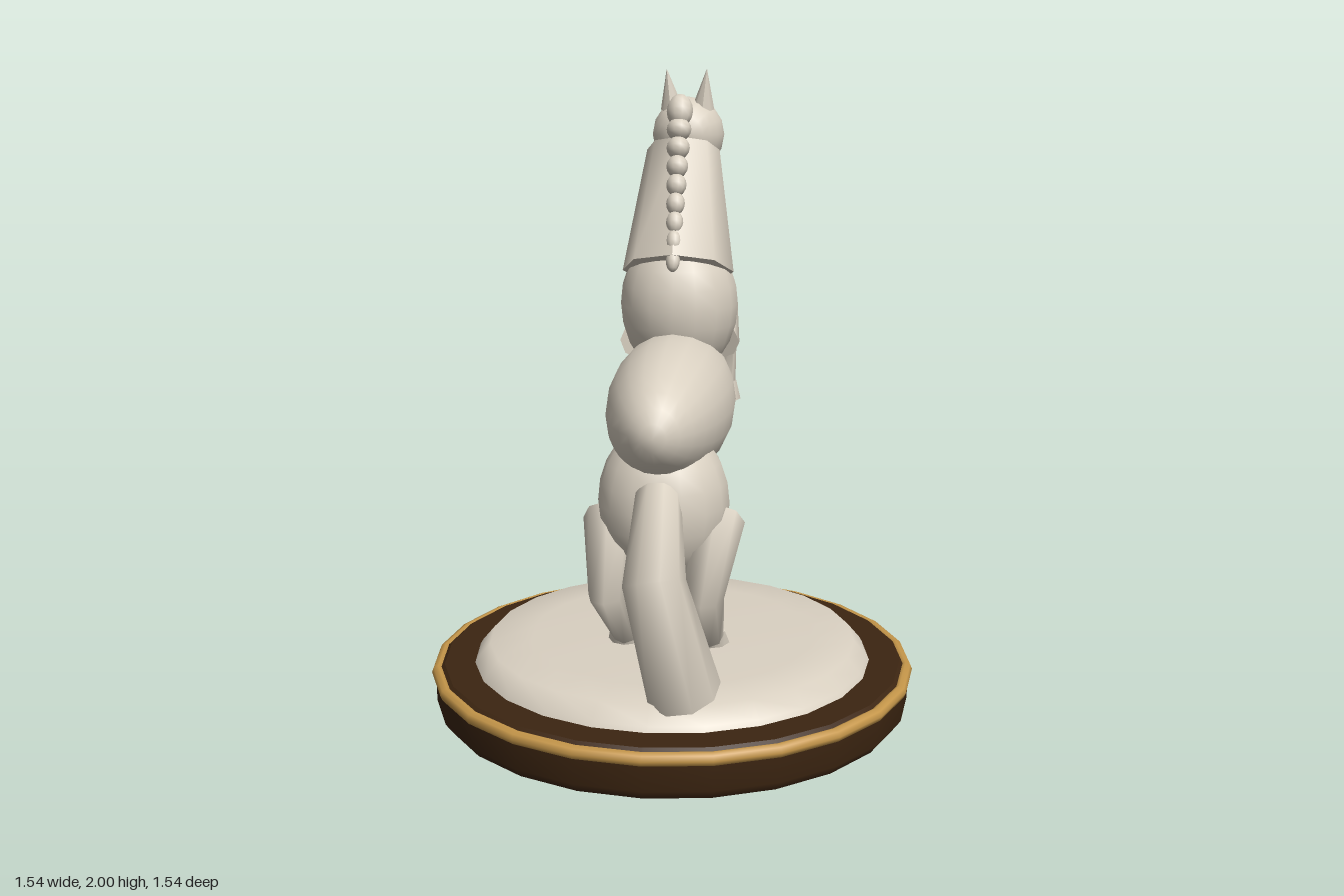
import * as THREE from 'three';

const cream = new THREE.MeshStandardMaterial({ color: 0xdad1c2 });
cream.name = 'cream';
const brown = new THREE.MeshStandardMaterial({ color: 0x3c2511 });
brown.name = 'darkBrown';
const gold = new THREE.MeshStandardMaterial({ color: 0xc6974a });
gold.name = 'gold';

const V = (x, y, z) => new THREE.Vector3(x, y, z);

function add(parent, name, geometry, material = cream) {
  const mesh = new THREE.Mesh(geometry, material);
  mesh.name = name;
  parent.add(mesh);
  return mesh;
}

// Tapered, mitred tube through a few points, made by bending a cylinder's rows
function limb(points, radii, sides = 8, wide = 1) {
  const n = points.length - 1;
  const rows = points.map((p, i) => {
    const before = i > 0 ? p.clone().sub(points[i - 1]).normalize() : null;
    const after = i < n ? points[i + 1].clone().sub(p).normalize() : null;
    const t = (before || after).clone().add(after || before).normalize();
    const side = V(1, 0, 0).addScaledVector(t, -t.x).normalize();
    const depth = side.clone().cross(t).negate();
    return { p, side, depth, mitre: 1 / t.dot(before || after), r: radii[i] };
  });
  const geo = new THREE.CylinderGeometry(1, 1, 1, sides, n);
  const pos = geo.attributes.position;
  for (let i = 0; i < pos.count; i++) {
    const row = rows[Math.round((0.5 - pos.getY(i)) * n)];
    const v = row.p.clone()
      .addScaledVector(row.side, pos.getX(i) * row.r * wide)
      .addScaledVector(row.depth, pos.getZ(i) * row.r * row.mitre);
    pos.setXYZ(i, v.x, v.y, v.z);
  }
  geo.computeVertexNormals();
  return geo;
}

// Ellipsoid with its poles along the horse's length (z) or upright (y)
function ball(parent, name, center, size, along = 'y', w = 16, h = 12) {
  const geo = new THREE.SphereGeometry(1, w, h);
  if (along === 'z') geo.rotateX(Math.PI / 2);
  const mesh = add(parent, name, geo);
  mesh.position.copy(center);
  mesh.scale.copy(size);
  return mesh;
}

function lathe(points) {
  return new THREE.LatheGeometry(points.map(([r, y]) => new THREE.Vector2(r, y)), 24);
}

function createBase() {
  const base = new THREE.Group();
  base.name = 'base';
  add(base, 'plinthSide', lathe([[0, 0], [0.735, 0], [0.735, 0], [0.757, 0.03], [0.757, 0.13]]), brown);
  add(base, 'plinthTop', lathe([[0.757, 0.13], [0.73, 0.15], [0.73, 0.15], [0, 0.15]]), brown);
  const rim = add(base, 'goldRim', new THREE.TorusGeometry(0.75, 0.021, 8, 24).rotateX(Math.PI / 2), gold);
  rim.position.y = 0.125;
  add(base, 'groundDome', lathe([[0.635, 0.148], [0.625, 0.165], [0.585, 0.212], [0.45, 0.219], [0.25, 0.225], [0, 0.228]]));
  return base;
}

// The horse is built facing +z, then turned on its base
function createHorse() {
  const horse = new THREE.Group();
  horse.name = 'horse';

  // Trunk
  ball(horse, 'barrel', V(0, 0.973, 0), V(0.197, 0.217, 0.495), 'z', 20, 16);
  ball(horse, 'hips', V(0, 0.72, -0.23), V(0.2, 0.25, 0.2));
  ball(horse, 'chest', V(0, 1.26, 0.205), V(0.19, 0.24, 0.2));

  // Neck and head
  add(horse, 'neck', limb([V(0, 1.37, 0.165), V(0, 1.745, 0.325)], [0.178, 0.118]));
  ball(horse, 'head', V(0, 1.79, 0.487), V(0.12, 0.123, 0.132), 'z');
  add(horse, 'muzzle', limb([V(0, 1.78, 0.52), V(0, 1.653, 0.715)], [0.08, 0.063], 12, 1.2));
  for (const s of [-1, 1]) {
    add(horse, 'ear', limb([V(s * 0.052, 1.875, 0.455), V(s * 0.066, 2, 0.43)], [0.037, 0.001]));
  }

  // Braided mane down the back of the neck
  const beads = 9;
  for (let i = 0; i < beads; i++) {
    const t = i / (beads - 1);
    const r = 0.042 - 0.02 * t;
    const bead = ball(horse, 'maneBead', V(0, 1.87 - 0.45 * t, 0.22 - 0.2 * t),
      V(r, i === 0 ? 0.055 : 0.037, r), 'y', 10, 8);
    bead.rotation.x = 0.4;
  }

  // Raised front legs, one held higher than the other
  const frontLegs = [
    { s: -1, knee: 1.225, foot: 0.885, reach: 0.52 },
    { s: 1, knee: 1.1, foot: 0.77, reach: 0.545 },
  ];
  for (const { s, knee, foot, reach } of frontLegs) {
    const x = s * 0.125;
    add(horse, 'frontLeg', limb(
      [V(x * 1.08, 1.135, 0.215), V(x, knee, 0.505), V(x, foot + 0.05, reach - 0.005)],
      [0.06, 0.043, 0.037]));
    add(horse, 'frontHoof', limb(
      [V(x, foot + 0.065, reach - 0.003), V(x, foot, reach)], [0.04, 0.055]));
  }

  // Bent hind legs
  for (const s of [-1, 1]) {
    add(horse, 'hindLeg', limb(
      [V(s * 0.165, 0.665, -0.22), V(s * 0.14, 0.49, -0.425), V(s * 0.135, 0.26, -0.125)],
      [0.082, 0.06, 0.042]));
    add(horse, 'hindHoof', limb(
      [V(s * 0.135, 0.275, -0.125), V(s * 0.135, 0.218, -0.09)], [0.045, 0.06]));
  }

  // Tail sweeping down to the ground
  add(horse, 'tail', limb(
    [V(0, 0.77, -0.38), V(-0.02, 0.6, -0.645), V(-0.09, 0.235, -0.515)],
    [0.07, 0.092, 0.112], 9));

  horse.rotation.y = -Math.PI * 5 / 6;
  return horse;
}

export function createModel() {
  const model = new THREE.Group();
  model.name = 'rearingHorseStatue';
  model.add(createBase(), createHorse());
  return model;
}
